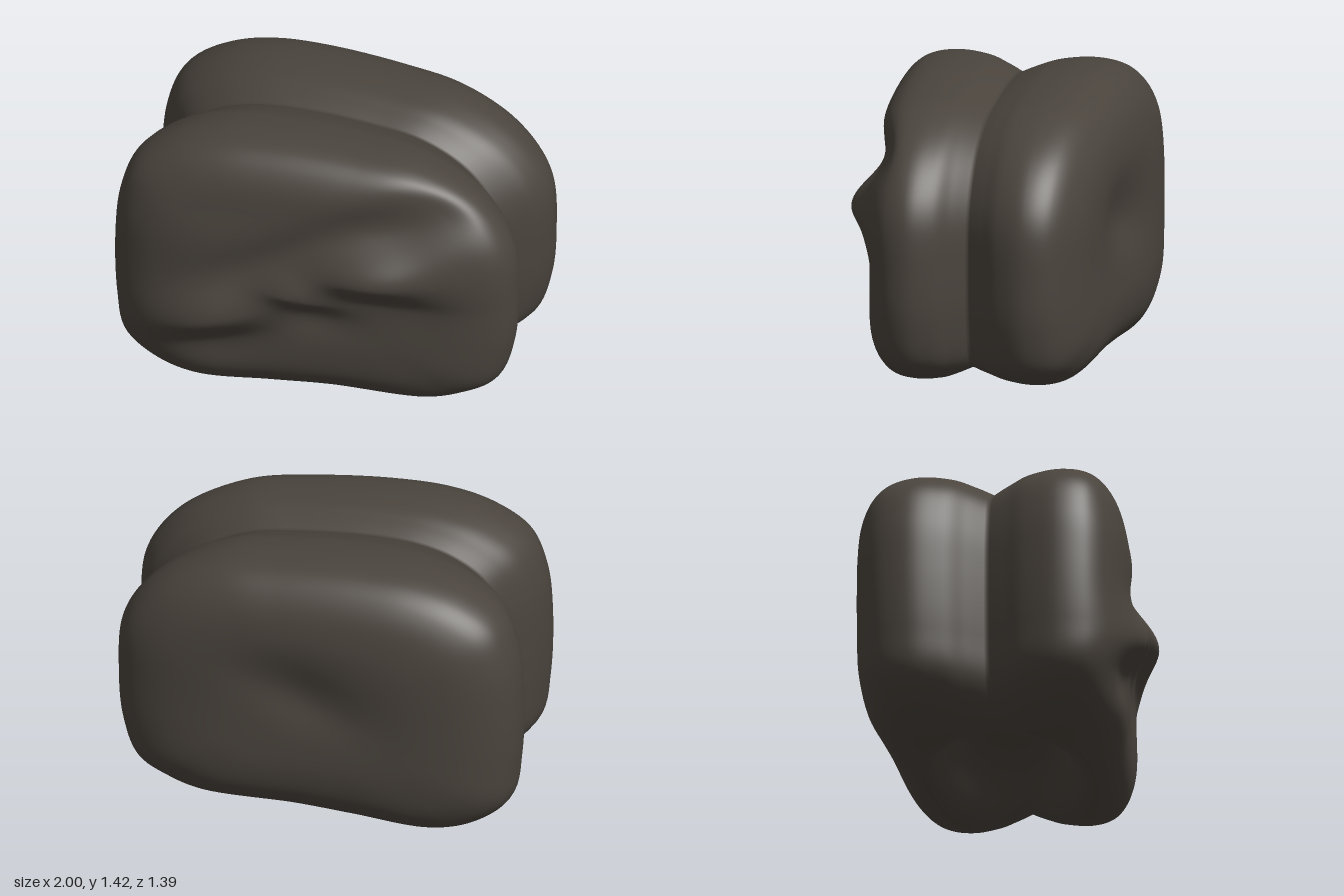
import * as THREE from 'three';
import { mergeVertices } from 'three/addons/utils/BufferGeometryUtils.js';

const { smoothstep } = THREE.MathUtils;
const MID = 0.7; // height of the stone's axis
const AROUND = 180, ALONG = 70;

// Widest outline, counter-clockwise seen from the front
const OUTLINE = [
  [1, 0.65], [0.985, 0.93], [0.91, 1.09], [0.76, 1.24], [0.5, 1.36], [0.2, 1.4], [-0.2, 1.415],
  [-0.5, 1.39], [-0.72, 1.32], [-0.9, 1.19], [-0.975, 1.0], [-1, 0.75], [-0.99, 0.4], [-0.95, 0.19],
  [-0.8, 0.06], [-0.6, 0.0], [-0.2, 0.025], [0.1, 0.045], [0.6, 0.055], [0.77, 0.11], [0.91, 0.2], [0.98, 0.4],
];

// One lobe from face centre to groove: [radius, depth, share of groove inset]
const PROFILE = [
  [0, 1, 0], [0.3, 1, 0], [0.55, 0.985, 0], [0.75, 0.93, 0], [0.88, 0.84, 0], [0.95, 0.745, 0],
  [0.985, 0.64, 0], [1, 0.5, 0.01], [1, 0.3, 0.22], [1, 0.14, 0.62], [1, 0, 1],
];

// Ridges and hollows: [x, y, tilt in degrees, length, width above, width below, height]
const FRONT_FOLDS = [
  [-0.45, 0.5, 18, 0.33, 0.16, 0.1, 0.075],
  [-0.42, 0.32, 18, 0.3, 0.09, 0.13, -0.045],
  [0.0, 0.69, -8, 0.16, 0.1, 0.06, 0.05],
  [0.04, 0.55, -3, 0.2, 0.07, 0.09, -0.03],
  [0.36, 0.84, 3, 0.27, 0.13, 0.09, 0.08],
  [0.48, 0.65, 0, 0.3, 0.08, 0.16, -0.04],
  [-0.08, 0.9, 28, 0.45, 0.11, 0.11, -0.04],
  [0.5, 1.12, 15, 0.35, 0.15, 0.13, -0.07],
  [-0.3, 1.12, 0, 0.6, 0.25, 0.15, -0.02],
  [0.25, 0.42, 0, 0.45, 0.2, 0.28, -0.045],
];
const BACK_FOLDS = [
  [0.05, 0.77, 20, 0.32, 0.18, 0.15, -0.045],
  [0.2, 0.65, 0, 0.5, 0.3, 0.3, -0.025],
];

function foldHeight(folds, x, y) {
  let sum = 0;
  for (const [cx, cy, deg, length, above, below, height] of folds) {
    const a = THREE.MathUtils.degToRad(deg), dx = x - cx, dy = y - cy;
    const u = dx * Math.cos(a) + dy * Math.sin(a);
    const v = dy * Math.cos(a) - dx * Math.sin(a);
    sum += height * Math.exp(-((u / length) ** 2) - (v / (v > 0 ? above : below)) ** 2);
  }
  return sum;
}

function stonePoint(p, [r, depth, inset], front) {
  // The groove is strong on the sides, shallow on top and absent underneath
  const topInset = 0.1 * Math.max(inset, 0) ** 1.5 * smoothstep(p.y, 0.2, 0.7);
  const x = p.x * r * (1 - 0.18 * inset);
  let y = MID + (p.y - MID) * r * (1 - topInset);
  let z = front ? depth * (0.6 - 0.085 * x) : -depth * (0.665 - 0.06 * x);
  const facing = smoothstep(depth, 0.55, 0.85);
  z += facing * (front ? foldHeight(FRONT_FOLDS, x, y) : -foldHeight(BACK_FOLDS, x, y));
  z -= 0.02 * (1 - depth); // the groove sits slightly behind the middle
  // Hollow socket in the underside
  const d2 = ((x - 0.05) / 0.5) ** 2 + ((z + 0.05) / 0.31) ** 2;
  y += 0.26 * Math.exp(-(d2 ** 2.5)) * (1 - smoothstep(y, 0.12, 0.4));
  return [x, y, z];
}

function stoneGeometry() {
  const outline = new THREE.CatmullRomCurve3(
    OUTLINE.map(([x, y]) => new THREE.Vector3(x, y, 0)), true).getSpacedPoints(AROUND).slice(0, AROUND);
  const lobe = new THREE.CatmullRomCurve3(
    PROFILE.map((q) => new THREE.Vector3(...q))).getPoints(ALONG).map((q) => q.toArray());
  const rings = [
    ...lobe.map((q) => [q, true]),
    ...lobe.slice(0, -1).reverse().map((q) => [q, false]),
  ];
  const positions = [], index = [];
  rings.forEach(([q, front], i) => {
    outline.forEach((p, j) => {
      positions.push(...stonePoint(p, q, front));
      if (i === rings.length - 1) return;
      const a = i * AROUND + j, b = i * AROUND + (j + 1) % AROUND;
      const c = a + AROUND, d = b + AROUND;
      // The first and last rings are single points, so they take one triangle per side
      if (i > 0) index.push(a, c, b);
      if (i < rings.length - 2) index.push(b, c, d);
    });
  });
  const geometry = new THREE.BufferGeometry();
  geometry.setAttribute('position', new THREE.Float32BufferAttribute(positions, 3));
  geometry.setIndex(index);
  const merged = mergeVertices(geometry, 1e-5);
  merged.computeVertexNormals();
  return merged;
}

export function createModel() {
  const group = new THREE.Group();
  group.name = 'groovedStone';
  const darkStone = new THREE.MeshStandardMaterial({ color: 0x4a443d });
  darkStone.name = 'darkStone';
  const stone = new THREE.Mesh(stoneGeometry(), darkStone);
  stone.name = 'stoneBody';
  group.add(stone);
  return group;
}
